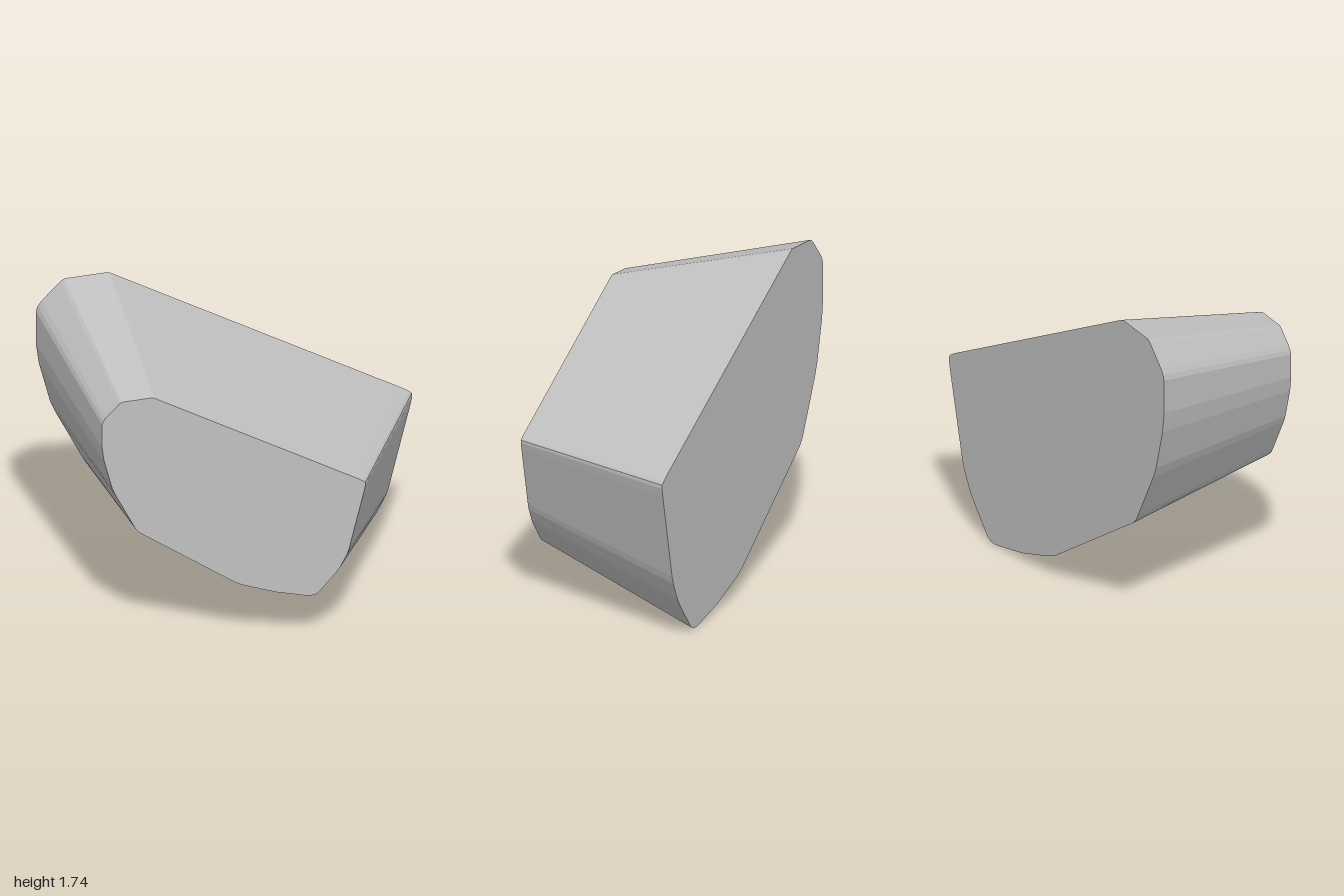
import * as THREE from 'three';

const DEPTH = 0.99;

// Back outline, counter-clockwise seen from the front
const OUTLINE = [
  [-0.59, 1.725], [-0.605, 1.732], [-0.625, 1.735], [-0.83, 1.713], [-0.85, 1.71], [-0.87, 1.695],
  [-0.97, 1.585], [-0.99, 1.555], [-1, 1.525], [-1, 1.335], [-0.985, 1.22], [-0.925, 0.99],
  [-0.9, 0.93], [-0.76, 0.66], [-0.74, 0.625], [-0.71, 0.595],
  [0.005, 0.145], [0.035, 0.13], [0.08, 0.113], [0.285, 0.053], [0.32, 0.043],
  [0.54, 0.004], [0.575, 0], [0.61, 0.004], [0.64, 0.02],
  [0.78, 0.19], [0.81, 0.235], [0.86, 0.335], [0.875, 0.38],
  [0.99, 0.865], [1, 0.915], [0.998, 0.935], [0.985, 0.948], [0.95, 0.968],
];

export function createModel() {
  const group = new THREE.Group();
  group.name = 'taperedBlock';
  const stone = new THREE.MeshStandardMaterial({ color: 0xc0c0c0 });
  stone.name = 'light grey';

  const shape = new THREE.Shape(OUTLINE.map(([x, y]) => new THREE.Vector2(x, y)));
  const geometry = new THREE.ExtrudeGeometry(shape, { depth: DEPTH, bevelEnabled: false });
  geometry.translate(0, 0, -DEPTH / 2);

  // Taper the front end to 70 percent
  const pos = geometry.attributes.position;
  for (let i = 0; i < pos.count; i++) {
    if (pos.getZ(i) > 0) {
      pos.setXY(i, pos.getX(i) * 0.7 - 0.05, pos.getY(i) * 0.7 + 0.267);
    }
  }
  geometry.computeVertexNormals();

  const block = new THREE.Mesh(geometry, stone);
  block.name = 'block';
  group.add(block);
  return group;
}
